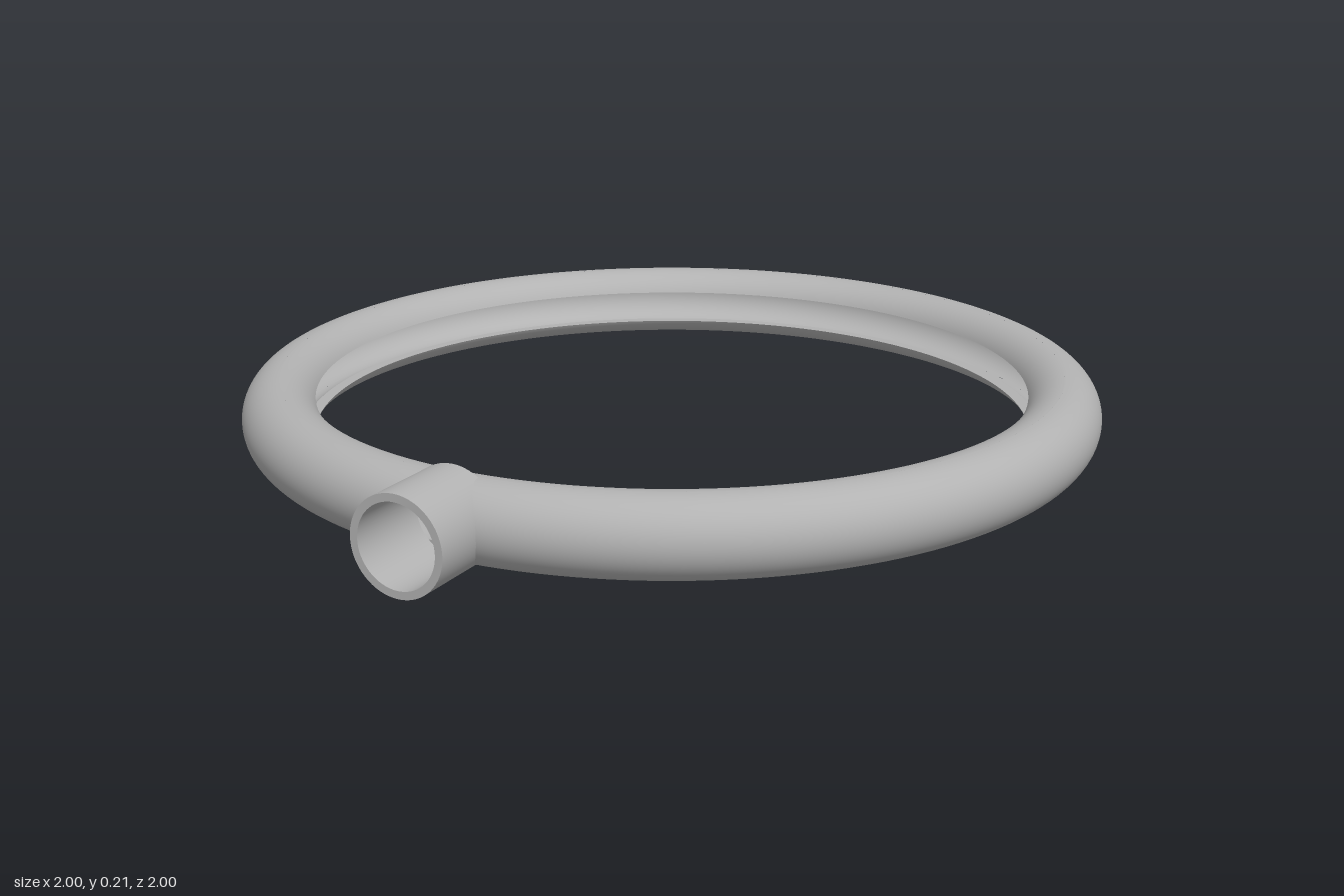
import * as THREE from 'three';

const R = 0.912, OUT = 0.088, BORE = 0.065, Y = 0.107; // ring radius, tube radii, height
const PIPE_OUT = 0.107, PIPE_IN = 0.09, PIPE_ANGLE = -Math.PI / 4;
const SLOT_TOP = 0.038, SLOT_LOW = 0.045, SEG = 160;

// Points of an arc in the tube's cross-section, angles from the outside upwards
function arc(radius, from, to, n = 20) {
  return Array.from({ length: n + 1 }, (_, i) => {
    const a = from + (to - from) * i / n;
    return new THREE.Vector2(R + radius * Math.cos(a), radius * Math.sin(a));
  });
}

export function createModel() {
  const group = new THREE.Group();
  const grey = new THREE.MeshStandardMaterial({ color: 0xb2b2b2 });
  const ring = new THREE.Group();
  ring.name = 'hollowRing';
  ring.position.y = Y;
  group.add(ring);

  function add(parent, name, geometry) {
    const mesh = new THREE.Mesh(geometry, grey);
    mesh.name = name;
    parent.add(mesh);
  }
  const sweep = pts => new THREE.LatheGeometry(pts, SEG, PIPE_ANGLE);

  // Outer half of the ring, trimmed where the pipe passes through
  function trimmed(pts) {
    const geo = sweep(pts), pos = geo.attributes.position, n = pts.length;
    for (let i = 0; i < pos.count; i++) {
      const p = pts[i % n], t = Math.floor(i / n) / SEG;
      const cut = Math.asin(Math.sqrt(0.098 ** 2 - p.y ** 2) / p.x);
      const phi = PIPE_ANGLE + cut + t * (2 * Math.PI - 2 * cut);
      pos.setXYZ(i, p.x * Math.sin(phi), p.y, p.x * Math.cos(phi));
    }
    geo.computeVertexNormals();
    return geo;
  }
  const q = Math.PI / 2;
  add(ring, 'outerWall', trimmed(arc(OUT, -q, q, 32)));
  add(ring, 'innerWall', trimmed(arc(BORE, q, -q, 32)));

  // Two lips, leaving a slot that faces the middle of the ring
  const topOut = Math.PI - Math.asin(SLOT_TOP / OUT);
  const topIn = Math.PI - Math.asin(SLOT_TOP / BORE);
  const lowOut = Math.PI + Math.asin(SLOT_LOW / OUT);
  const lowIn = Math.PI + Math.asin(SLOT_LOW / BORE);
  function lip(name, outer, inner, topLip) {
    const end = a => a[a.length - 1];
    add(ring, name + 'Outside', sweep(outer));
    add(ring, name + 'Inside', sweep(inner));
    add(ring, name + (topLip ? 'SlotEdge' : 'PipeEdge'), sweep([end(outer), inner[0]]));
    add(ring, name + (topLip ? 'PipeEdge' : 'SlotEdge'), sweep([end(inner), outer[0]]));
  }
  lip('upperLip', arc(OUT, q, topOut), arc(BORE, topIn, q), true);
  lip('lowerLip', arc(OUT, lowOut, 3 * q), arc(BORE, 3 * q, lowIn), false);

  // Open pipe stub pointing outwards
  const pipe = new THREE.Group();
  pipe.name = 'pipe';
  pipe.position.y = Y;
  group.add(pipe);
  const corners = [[PIPE_OUT, R], [PIPE_OUT, 1.105], [PIPE_IN, 1.105], [PIPE_IN, R]]
    .map(c => new THREE.Vector2(...c));
  ['pipeOutside', 'pipeRim', 'pipeInside', 'pipeBase'].forEach((name, i) => {
    const geo = new THREE.LatheGeometry([corners[i], corners[(i + 1) % 4]], 64);
    add(pipe, name, geo.rotateX(q).rotateY(PIPE_ANGLE));
  });
  return group;
}
